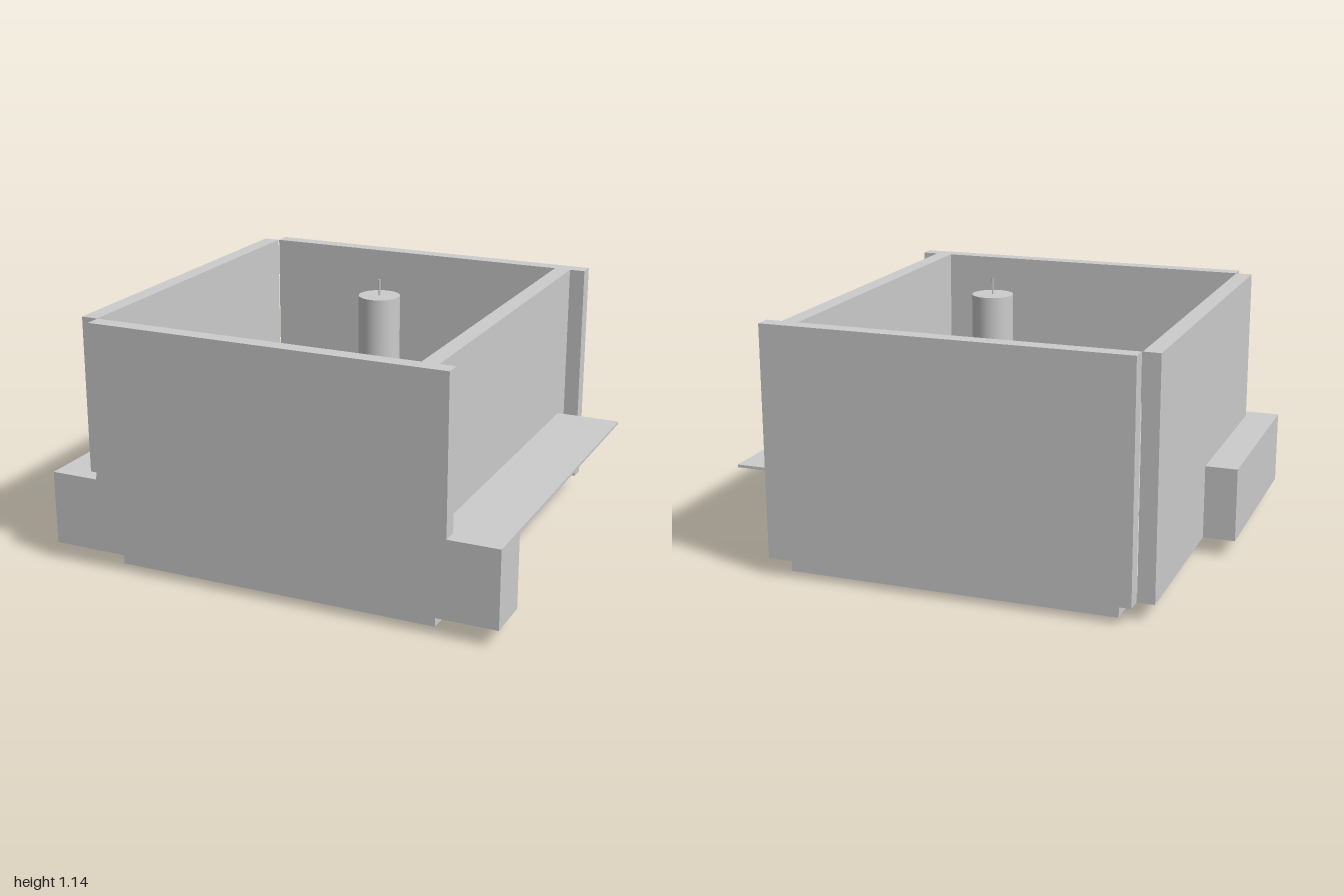
import * as THREE from 'three';

export function createModel() {
  const model = new THREE.Group();
  const grey = new THREE.MeshStandardMaterial({ color: 0xcccccc });
  grey.name = 'light grey';

  const add = (name, geometry, x, y, z) => {
    const mesh = new THREE.Mesh(geometry, grey);
    mesh.name = name;
    mesh.position.set(x, y, z);
    model.add(mesh);
    return mesh;
  };
  // Box given by its limits on each axis
  const box = (name, [x0, x1], [y0, y1], [z0, z1]) =>
    add(name, new THREE.BoxGeometry(x1 - x0, y1 - y0, z1 - z0),
      (x0 + x1) / 2, (y0 + y1) / 2, (z0 + z1) / 2);

  // Base and the four walls, set out in a pinwheel
  const wallY = [0.075, 1.075];
  box('base', [-0.715, 0.712], [0, 0.075], [-0.805, 0.803]);
  box('frontWall', [-0.785, 0.78], wallY, [0.803, 0.873]);
  box('backWall', [-0.785, 0.78], wallY, [-0.875, -0.805]);
  box('leftWall', [0.64, 0.712], wallY, [-0.805, 0.803]);
  box('rightWall', [-0.86, -0.788], wallY, [-0.805, 0.803]);

  // Outer blocks beside the front wall
  box('leftBlock', [0.712, 1], [0.075, 0.398], [0.663, 0.873]);
  box('rightBlock', [-1, -0.715], [0.075, 0.397], [-0.02, 0.873]);

  // Thin inner floor that runs out through the left wall, with a slot at the front
  const outline = (T, x0, x1, z0, z1) => {
    const p = new T();
    p.moveTo(x0, -z1).lineTo(x1, -z1).lineTo(x1, -z0).lineTo(x0, -z0).closePath();
    return p;
  };
  const floor = outline(THREE.Shape, -0.788, 1, -0.715, 0.873);
  floor.holes.push(outline(THREE.Path, 0.14, 0.43, 0.685, 0.803));
  const floorGeometry = new THREE.ExtrudeGeometry(floor, { depth: 0.012, bevelEnabled: false });
  floorGeometry.rotateX(-Math.PI / 2);
  add('innerFloor', floorGeometry, 0, 0.398, 0);

  // Central cylinder and its pin
  add('cylinder', new THREE.CylinderGeometry(0.089, 0.089, 0.29, 48), 0.105, 0.93, -0.02);
  add('pin', new THREE.CylinderGeometry(0.004, 0.004, 0.07, 12), 0.105, 1.11, -0.02);

  return model;
}
